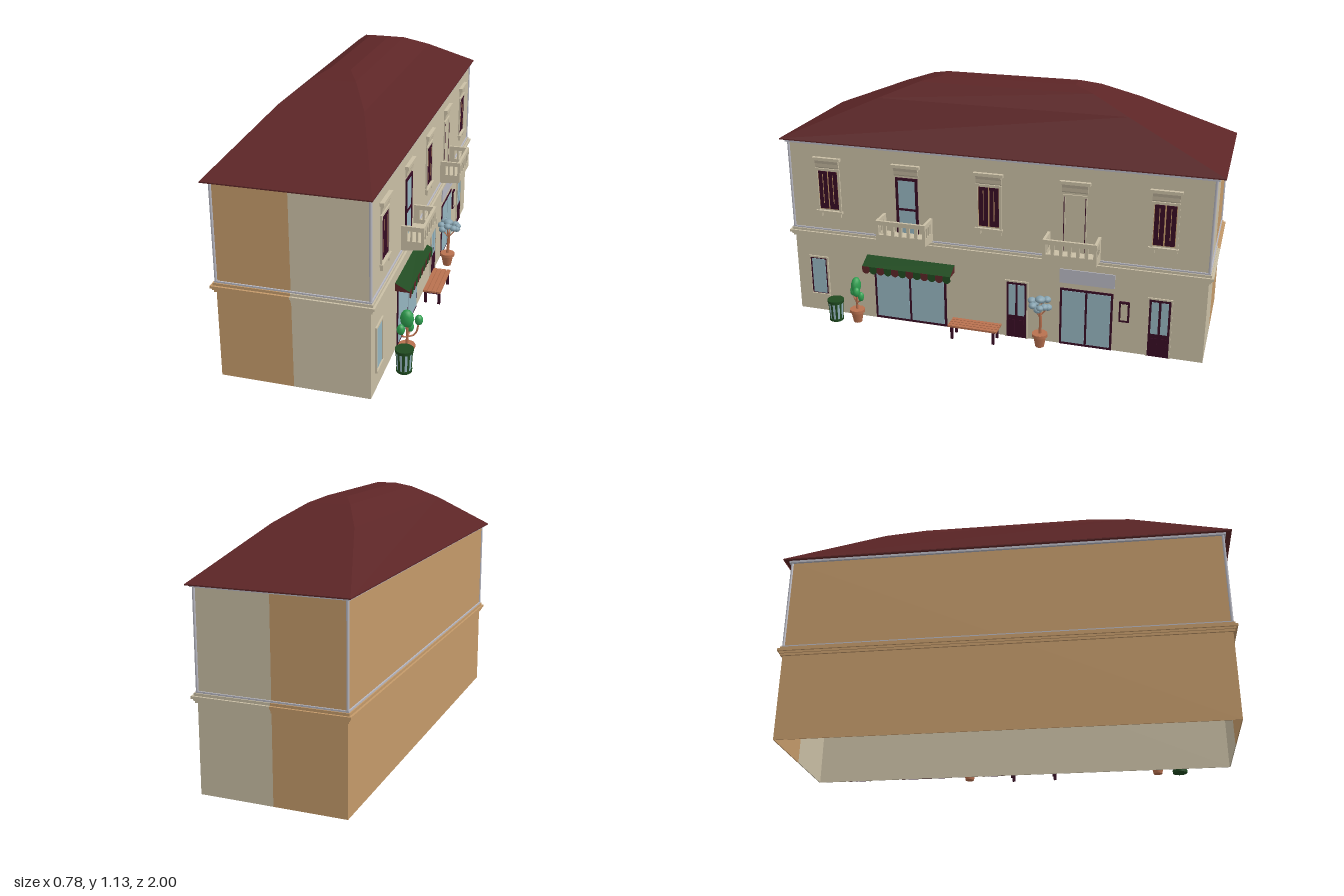
import * as THREE from 'three';

const paint = (name, color) => {
  const m = new THREE.MeshStandardMaterial({ color });
  m.name = name;
  return m;
};

export function createModel() {
  const beige = paint('beige plaster', 0xcabfa5), ochre = paint('ochre plaster', 0xc49a6a);
  const roofRed = paint('roof red', 0x5c2526), plum = paint('plum wood', 0x380c24);
  const glass = paint('glass', 0x96b5c0), leaf = paint('leaf green', 0x2fa050);
  const bottle = paint('bottle green', 0x1f4a20), clay = paint('terracotta', 0xb9714f);
  const grey = paint('pale grey', 0xb8b8c2), bloom = paint('blue bloom', 0x86a3b0);
  roofRed.side = THREE.DoubleSide;

  const root = new THREE.Group();
  root.name = 'townhouse';
  const X0 = -0.365, X1 = 0.263, Z = 0.963, MID = -0.055;

  const group = (name, x = 0, y = 0, z = 0, parent = root) => {
    const g = new THREE.Group();
    g.name = name;
    g.position.set(x, y, z);
    parent.add(g);
    return g;
  };
  const add = (parent, name, geo, mat, x = 0, y = 0, z = 0) => {
    const m = new THREE.Mesh(geo, mat);
    m.name = name;
    m.position.set(x, y, z);
    parent.add(m);
    return m;
  };
  // Box between two corners
  const block = (parent, name, mat, x0, x1, y0, y1, z0, z1) =>
    add(parent, name, new THREE.BoxGeometry(x1 - x0, y1 - y0, Math.abs(z1 - z0)), mat,
      (x0 + x1) / 2, (y0 + y1) / 2, (z0 + z1) / 2);
  // Plate on the street wall, centred on z = 0 of its group
  const plate = (parent, name, mat, z, w, y0, y1, d) =>
    block(parent, name, mat, X1 - 0.002, X1 + d, y0, y1, z - w / 2, z + w / 2);
  // x-y profile extruded along z
  const prism = (pts, w) => {
    const s = new THREE.Shape(pts.map(p => new THREE.Vector2(...p)));
    return new THREE.ExtrudeGeometry(s, { depth: w, bevelEnabled: false }).translate(0, 0, -w / 2);
  };
  // Ring around the house, made of two U-shaped halves
  const ring = (name, y0, y1, out, inn, east = beige, west = ochre) => {
    for (const [xe, sgn, mat] of [[X1, 1, east], [X0, -1, west]]) {
      const o = Z + out, i = Z - inn, xo = xe + sgn * out, xi = xe - sgn * inn;
      const s = new THREE.Shape([[MID, -o], [xo, -o], [xo, o], [MID, o], [MID, i], [xi, i], [xi, -i], [MID, -i]]
        .map(p => new THREE.Vector2(...p)));
      const g = new THREE.ExtrudeGeometry(s, { depth: y1 - y0, bevelEnabled: false }).rotateX(-Math.PI / 2);
      add(root, name, g, mat, 0, y0, 0);
    }
  };

  // Walls and string course
  ring('walls', 0, 0.85, 0, 0.004);
  ring('lowerMoulding', 0.383, 0.393, 0.008, 0.01);
  ring('middleMoulding', 0.393, 0.402, 0.013, 0.01);
  ring('upperMoulding', 0.402, 0.413, 0.02, 0.01);
  ring('ledge', 0.413, 0.424, 0.011, 0.01);
  ring('flashing', 0.424, 0.431, 0.006, 0, grey, grey);
  ring('gutter', 0.843, 0.853, 0.012, 0.002, grey, grey);
  for (const x of [X0, X1]) for (const z of [-Z, Z])
    add(root, 'downpipe', new THREE.CylinderGeometry(0.006, 0.006, 0.42, 8), grey, x, 0.638, z);

  // Hipped roof, built from stacked rectangles
  const levels = [[0.335, 0.853, 1], [0.335, 0.858, 1], [0.18, 1.04, 0.57], [0.095, 1.107, 0.4], [0.045, 1.13, 0.31]];
  const rects = levels.map(([w, y, d]) =>
    [[w, d], [w, -d], [-w, -d], [-w, d]].map(([x, z]) => [x + MID, y, z]));
  const tris = [];
  const quad = (a, b, c, d) => tris.push(...a, ...b, ...c, ...a, ...c, ...d);
  for (let l = 0; l < rects.length - 1; l++)
    for (let k = 0; k < 4; k++) {
      const n = (k + 1) % 4;
      quad(rects[l][k], rects[l][n], rects[l + 1][n], rects[l + 1][k]);
    }
  quad(...rects[rects.length - 1]);
  const roofGeo = new THREE.BufferGeometry();
  roofGeo.setAttribute('position', new THREE.Float32BufferAttribute(tris, 3));
  roofGeo.computeVertexNormals();
  add(root, 'roof', roofGeo, roofRed);

  // Upper windows and balcony doors
  const frame = (g, mat, w, y0, y1, t, d) => {
    for (const s of [-1, 1]) plate(g, 'frameSide', mat, s * (w - t) / 2, t, y0, y1, d);
    plate(g, 'frameTop', mat, 0, w, y1 - t, y1, d);
  };
  const lintel = [[X1, 0.728], [X1 + 0.006, 0.735], [X1 + 0.008, 0.752], [X1 + 0.016, 0.772], [X1 + 0.016, 0.78], [X1, 0.78]];
  [0.775, 0.39, 0.005, -0.38, -0.765].forEach((z, i) => {
    const balcony = i % 2 === 1;
    const g = group(balcony ? 'balconyDoor' : 'upperWindow', 0, 0, z);
    add(g, 'lintel', prism(lintel, 0.115), beige);
    plate(g, 'lintelCap', beige, 0, 0.135, 0.768, 0.782, 0.017);
    if (!balcony) {
      plate(g, 'opening', ochre, 0, 0.1, 0.53, 0.718, 0.002);
      frame(g, beige, 0.12, 0.52, 0.728, 0.011, 0.007);
      for (const s of [-1, 1]) {
        plate(g, 'shutter', plum, s * 0.0245, 0.042, 0.533, 0.715, 0.005);
        plate(g, 'shutterSlat', ochre, s * 0.0245, 0.003, 0.56, 0.7, 0.006);
        plate(g, 'bracket', beige, s * 0.047, 0.022, 0.496, 0.517, 0.011);
      }
      plate(g, 'sill', beige, 0, 0.13, 0.514, 0.524, 0.014);
      return;
    }
    plate(g, 'doorPanel', i === 1 ? glass : beige, 0, 0.09, 0.445, 0.712, 0.003);
    frame(g, i === 1 ? plum : beige, 0.105, 0.445, 0.72, 0.012, 0.006);
    if (i === 1) plate(g, 'doorRail', plum, 0, 0.09, 0.565, 0.575, 0.006);
    else for (const s of [-1, 1]) plate(g, 'doorEdge', plum, s * 0.047, 0.003, 0.46, 0.71, 0.007);

    // Balcony with balustrade
    const b = group('balcony', 0, 0, 0, g), out = 0.36, h = 0.118, t = 0.012;
    add(b, 'slab', prism([[X1, 0.428], [out, 0.44], [out, 0.455], [X1, 0.455]], 2 * h), beige);
    for (const [y0, y1] of [[0.453, 0.474], [0.52, 0.54]]) {
      block(b, 'frontRail', beige, out - t, out, y0, y1, -h, h);
      for (const s of [-1, 1]) block(b, 'sideRail', beige, X1, out - t, y0, y1, s * h, s * (h - t));
    }
    for (let k = 0; k <= 6; k++) {
      const zc = -h + 0.007 + k * (2 * h - 0.014) / 6;
      block(b, 'baluster', beige, out - t, out, 0.474, 0.52, zc - 0.007, zc + 0.007);
    }
    for (const s of [-1, 1]) {
      for (const x of [0.263, 0.302, 0.326])
        block(b, 'sideBaluster', beige, x, x + (x < 0.3 ? 0.026 : 0.008), 0.474, 0.52, s * h, s * (h - t));
      block(b, 'corbel', beige, X1, X1 + 0.05, 0.422, 0.44, s * 0.08 - 0.014, s * 0.08 + 0.014);
    }
  });

  // Ground-floor glazing: plum frame with two panes
  const glazing = (name, z, w, y0, y1, sill, t = 0.01) => {
    const g = group(name, 0, 0, z), p = (w - 3 * t) / 2;
    plate(g, 'frame', plum, 0, w, y0, y1, 0.004);
    for (const s of [-1, 1]) plate(g, 'pane', glass, s * (p + t) / 2, p, y0 + sill, y1 - t, 0.006);
    return g;
  };
  glazing('shopWindow', 0.39, 0.355, 0.003, 0.3, 0.012, 0.011);
  glazing('shopDoor', -0.442, 0.238, 0, 0.278, 0.012);
  for (const z of [-0.123, -0.767]) {
    const door = glazing('houseDoor', z, 0.096, 0, 0.276, 0.112, 0.011);
    for (const s of [-1, 1]) plate(door, 'lowerPanel', plum, s * 0.021, 0.028, 0.02, 0.09, 0.007);
    frame(door, beige, 0.108, 0, 0.284, 0.007, 0.007);
  }
  const side = group('sideWindow', 0, 0, 0.853);
  plate(side, 'frame', plum, 0, 0.084, 0.09, 0.275, 0.003);
  plate(side, 'pane', glass, 0, 0.068, 0.094, 0.27, 0.005);
  frame(side, beige, 0.1, 0.086, 0.284, 0.008, 0.007);
  plate(side, 'sill', beige, 0, 0.1, 0.08, 0.09, 0.01);

  // Sign board and notice case
  plate(root, 'signBoard', grey, -0.443, 0.246, 0.304, 0.37, 0.005);
  plate(root, 'noticeFrame', plum, -0.612, 0.046, 0.15, 0.248, 0.008);
  plate(root, 'noticePanel', beige, -0.612, 0.03, 0.16, 0.238, 0.0095);

  // Awning with a scalloped valance
  const awning = group('awning', 0, 0, 0.386), aw = 0.43, n = 12;
  add(awning, 'canopy', prism([[X1, 0.286], [0.325, 0.286], [0.325, 0.29], [X1, 0.322]], aw), [roofRed, bottle]);
  for (let k = 0; k < n; k++) {
    const w = aw / n, zc = -aw / 2 + (k + 0.5) * w, s = new THREE.Shape();
    s.moveTo(-w / 2, 0.29).lineTo(-w / 2, 0.265);
    s.quadraticCurveTo(0, 0.243, w / 2, 0.265).lineTo(w / 2, 0.29);
    const g = new THREE.ExtrudeGeometry(s, { depth: 0.002, bevelEnabled: false, curveSegments: 6 }).rotateY(Math.PI / 2);
    add(awning, 'scallop', g, k % 2 ? roofRed : bottle, 0.324, 0, zc);
  }

  // Bench
  const bench = group('bench', 0, 0, 0.058);
  for (let k = 0; k < 4; k++)
    block(bench, 'slat', clay, 0.287 + k * 0.021, 0.305 + k * 0.021, 0.06, 0.069, -0.116, 0.116);
  for (const s of [-1, 1]) {
    block(bench, 'crossbar', plum, 0.29, 0.365, 0.05, 0.06, s * 0.098 - 0.006, s * 0.098 + 0.006);
    for (const x of [0.29, 0.353])
      block(bench, 'leg', plum, x, x + 0.012, 0, 0.052, s * 0.098 - 0.006, s * 0.098 + 0.006);
  }
  block(bench, 'stretcher', plum, 0.322, 0.333, 0.05, 0.06, -0.098, 0.098);

  // Striped litter bin
  const bin = group('litterBin', 0.34, 0, 0.74), slats = 20, step = 2 * Math.PI / slats;
  for (let k = 0; k < slats; k++)
    add(bin, 'binStripe', new THREE.CylinderGeometry(0.036, 0.031, 0.09, 1, 1, true, k * step, step),
      k % 2 ? glass : bottle, 0, 0.053, 0);
  add(bin, 'binBase', new THREE.CylinderGeometry(0.034, 0.033, 0.012, 20), bottle, 0, 0.01, 0);
  add(bin, 'binRim', new THREE.CylinderGeometry(0.039, 0.038, 0.014, 20), bottle, 0, 0.101, 0);

  // Potted plants
  const pot = (g) => {
    add(g, 'pot', new THREE.CylinderGeometry(0.03, 0.02, 0.052, 10), clay, 0, 0.026, 0);
    add(g, 'potRim', new THREE.CylinderGeometry(0.036, 0.036, 0.014, 10), clay, 0, 0.058, 0);
  };
  const stem = (g, r, ...pts) => add(g, 'stem', new THREE.TubeGeometry(
    new THREE.CatmullRomCurve3(pts.map(p => new THREE.Vector3(...p))), 6, r, 6), clay);
  const ball = (g, name, mat, x, y, z, rx, ry, rz) =>
    add(g, name, new THREE.IcosahedronGeometry(1, 1).scale(rx, ry, rz), mat, x, y, z);

  const cactus = group('pottedCactus', 0.325, 0, 0.638);
  pot(cactus);
  stem(cactus, 0.006, [0, 0.06, 0], [0.002, 0.11, 0], [0, 0.16, 0]);
  for (const [x, y, z, rx, ry, rz] of [[0, 0.187, 0, 0.03, 0.042, 0.022], [-0.02, 0.145, 0.024, 0.018, 0.025, 0.016],
    [0.045, 0.175, -0.022, 0.018, 0.024, 0.016], [0.008, 0.135, -0.026, 0.016, 0.024, 0.014]]) {
    ball(cactus, 'cactusPad', leaf, x, y, z, rx, ry, rz);
    stem(cactus, 0.004, [0, 0.1, 0], [x * 0.7, 0.11, z * 0.7], [x, y - ry * 0.6, z]);
  }

  const tree = group('pottedTree', 0.315, 0, -0.245);
  pot(tree);
  stem(tree, 0.007, [0, 0.06, 0], [0.003, 0.12, -0.004], [0.004, 0.18, 0]);
  for (let k = 0; k < 8; k++) {
    const a = k * Math.PI / 4, x = 0.004 + 0.038 * Math.cos(a), z = 0.037 * Math.sin(a), y = 0.213 + 0.012 * (k % 3 - 1);
    ball(tree, 'bloom', bloom, x, y, z, 0.019, 0.015, 0.019);
    if (k % 2 === 0) stem(tree, 0.003, [0.004, 0.15, 0], [x * 0.6, 0.18, z * 0.6], [x, y, z]);
  }
  ball(tree, 'topBloom', bloom, 0, 0.232, 0, 0.024, 0.016, 0.024);
  ball(tree, 'sideBloom', bloom, 0.046, 0.212, -0.01, 0.016, 0.013, 0.017);

  return root;
}
